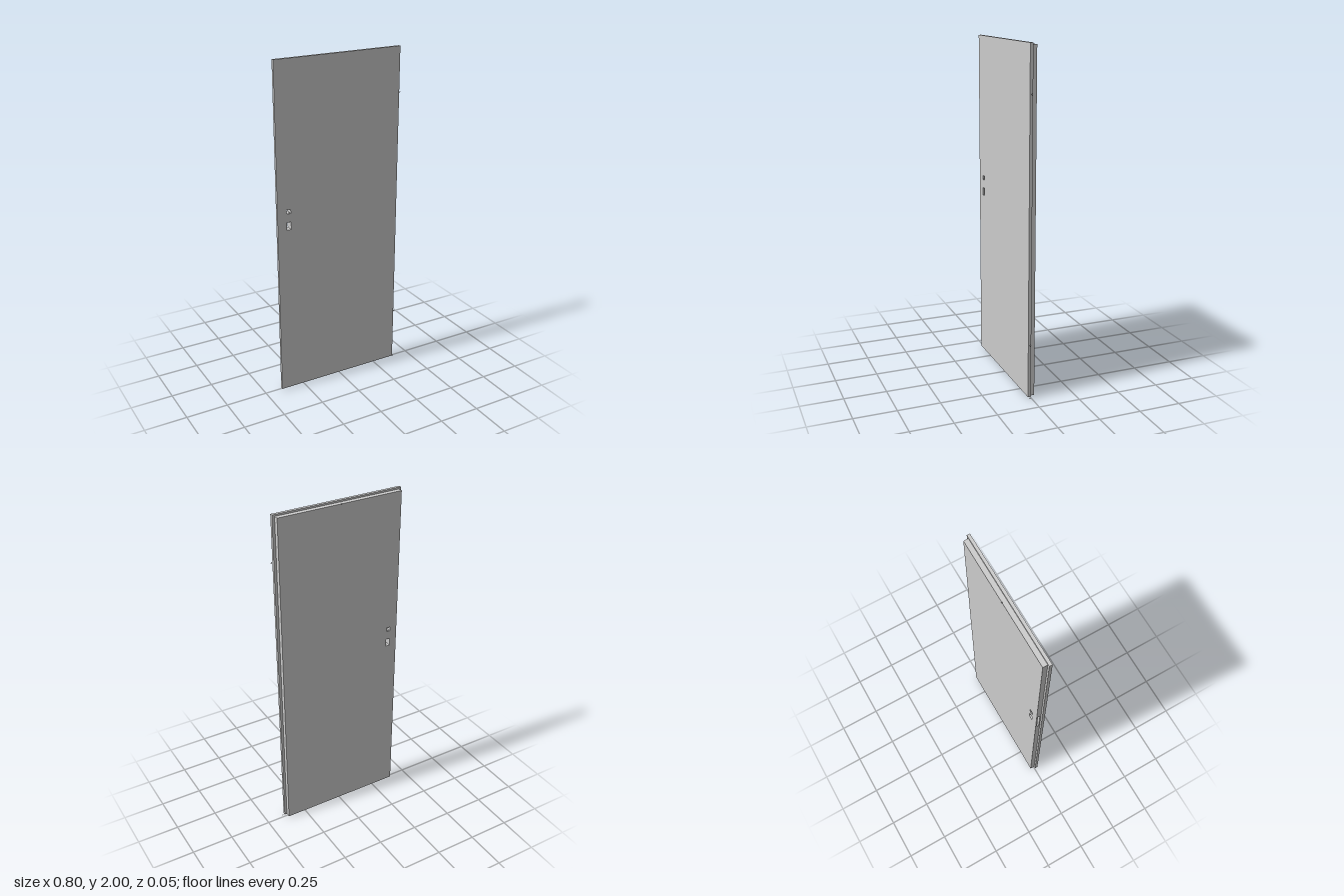
import * as THREE from 'three';

const material = new THREE.MeshStandardMaterial({ color: 0xcccccc });
const BOTTOM = 0.01;
const LOCK_X = -0.33;

// Rectangular outline given by its centre and size
function rectangle(target, x, y, w, h) {
  target.moveTo(x - w / 2, y - h / 2);
  target.lineTo(x + w / 2, y - h / 2);
  target.lineTo(x + w / 2, y + h / 2);
  target.lineTo(x - w / 2, y + h / 2);
  target.closePath();
  return target;
}

// One layer of the door with handle and keyhole openings; notch is the depth of the lock pocket
function doorLayer(name, left, right, top, z0, z1, notch = 0) {
  const shape = new THREE.Shape();
  shape.moveTo(left, BOTTOM);
  shape.lineTo(right, BOTTOM);
  shape.lineTo(right, top);
  shape.lineTo(left, top);
  if (notch) {
    shape.lineTo(left, 1.19);
    shape.lineTo(left + notch, 1.19);
    shape.lineTo(left + notch, 1.01);
    shape.lineTo(left, 1.01);
  }
  shape.closePath();
  shape.holes.push(
    rectangle(new THREE.Path(), LOCK_X, 1.145, 0.025, 0.025),
    rectangle(new THREE.Path(), LOCK_X, 1.058, 0.027, 0.046),
  );
  const geometry = new THREE.ExtrudeGeometry(shape, { depth: z1 - z0, bevelEnabled: false });
  geometry.translate(0, 0, z0);
  const mesh = new THREE.Mesh(geometry, material);
  mesh.name = name;
  return mesh;
}

export function createModel() {
  const model = new THREE.Group();
  model.name = 'door';

  // Wide front leaf overlapping the narrower, rebated back leaf
  model.add(doorLayer('frontLeaf', -0.4, 0.385, 2, 0.003, 0.0205));
  const back = new THREE.Group();
  back.name = 'backLeaf';
  back.add(
    doorLayer('backLeafInner', -0.387, 0.37, 1.99, -0.004, 0.003),
    doorLayer('backLeafCore', -0.387, 0.37, 1.99, -0.016, -0.004, 0.02),
    doorLayer('backLeafOuter', -0.387, 0.37, 1.99, -0.0245, -0.016),
  );
  model.add(back);

  // Tiny diamond-shaped fitting points: hinges, floor pivot, closer and handles
  const diamond = new THREE.OctahedronGeometry(0.005, 0);
  const points = [
    ['upperHingePoint', 0.395, 1.735, 0.012],
    ['lowerHingePoint', 0.395, 0.33, 0.012],
    ['floorPivotPoint', 0.395, 0.005, 0.012],
    ['closerPoint', -0.008, 1.99, -0.0245],
    ['backHandlePoint', -0.328, 1.136, -0.0235],
    ['frontHandlePoint', -0.328, 1.136, 0.02],
  ];
  for (const [name, x, y, z] of points) {
    const point = new THREE.Mesh(diamond, material);
    point.name = name;
    point.position.set(x, y, z);
    model.add(point);
  }
  return model;
}
